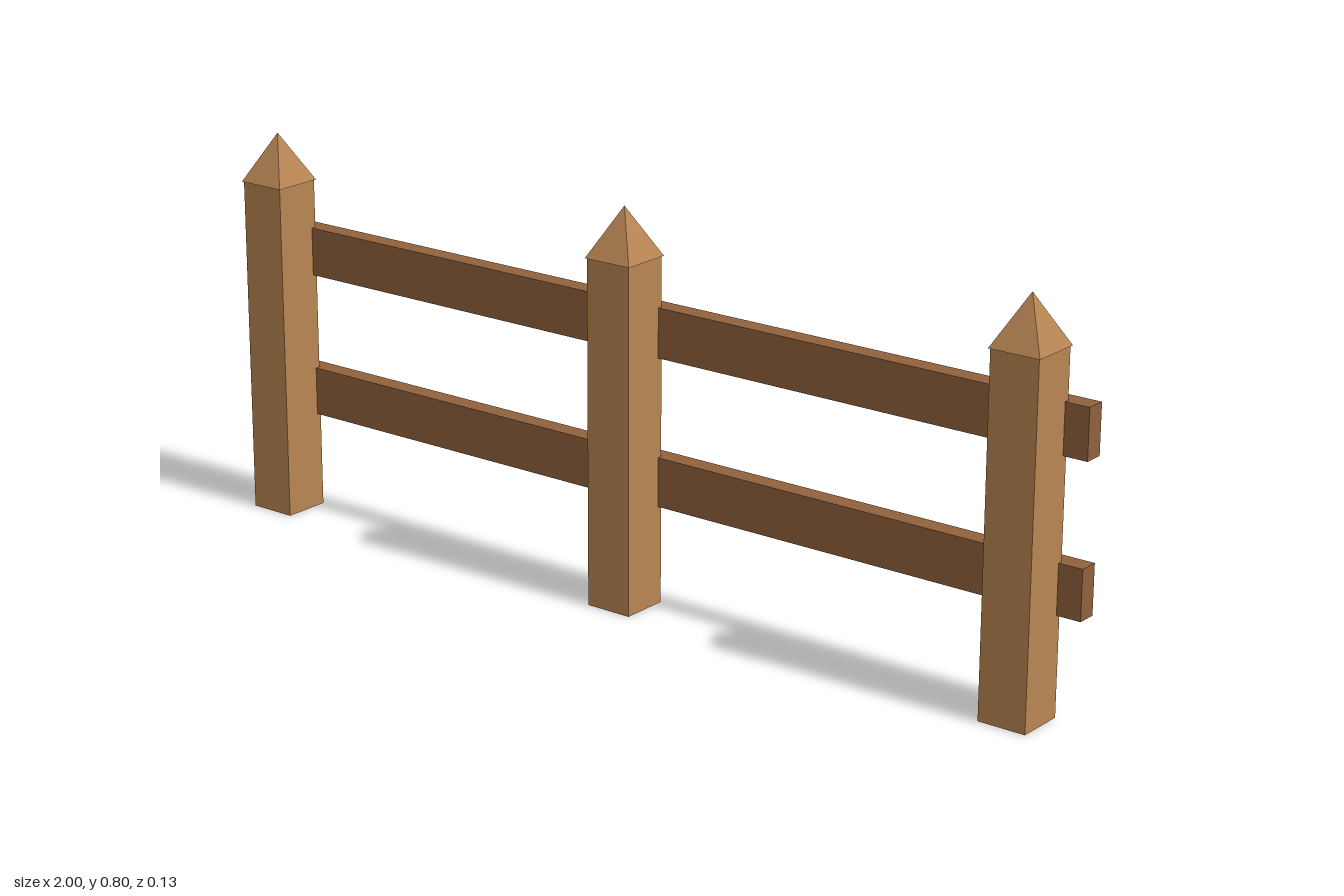
import * as THREE from 'three';

const POST_Z = 0.0135;
const POST_HEIGHT = 0.7;

export function createModel() {
  const fence = new THREE.Group();
  fence.name = 'fence';

  const lightWood = new THREE.MeshStandardMaterial({ color: 0xb98653, flatShading: true });
  lightWood.name = 'light wood';
  const darkWood = new THREE.MeshStandardMaterial({ color: 0x91623d, flatShading: true });
  darkWood.name = 'dark wood';

  const add = (parent, name, geometry, material, x, y, z) => {
    const mesh = new THREE.Mesh(geometry, material);
    mesh.name = name;
    mesh.position.set(x, y, z);
    parent.add(mesh);
  };

  // Square posts, each with a slightly overhanging pyramid cap
  const shaft = new THREE.BoxGeometry(0.1, POST_HEIGHT, 0.1);
  const cap = new THREE.ConeGeometry(0.075, 0.1, 4).rotateY(Math.PI / 4);
  for (const [name, x] of [['rightPost', -0.9], ['middlePost', 0], ['leftPost', 0.9]]) {
    const post = new THREE.Group();
    post.name = name;
    post.position.set(x, 0, POST_Z);
    add(post, 'postShaft', shaft, lightWood, 0, POST_HEIGHT / 2, 0);
    add(post, 'postCap', cap, lightWood, 0, POST_HEIGHT + 0.05, 0);
    fence.add(post);
  }

  // Horizontal rails let into the back of the posts
  const rail = new THREE.BoxGeometry(2, 0.1, 0.04);
  add(fence, 'lowerRail', rail, darkWood, 0, 0.25, POST_Z - 0.06);
  add(fence, 'upperRail', rail, darkWood, 0, 0.55, POST_Z - 0.06);

  return fence;
}
